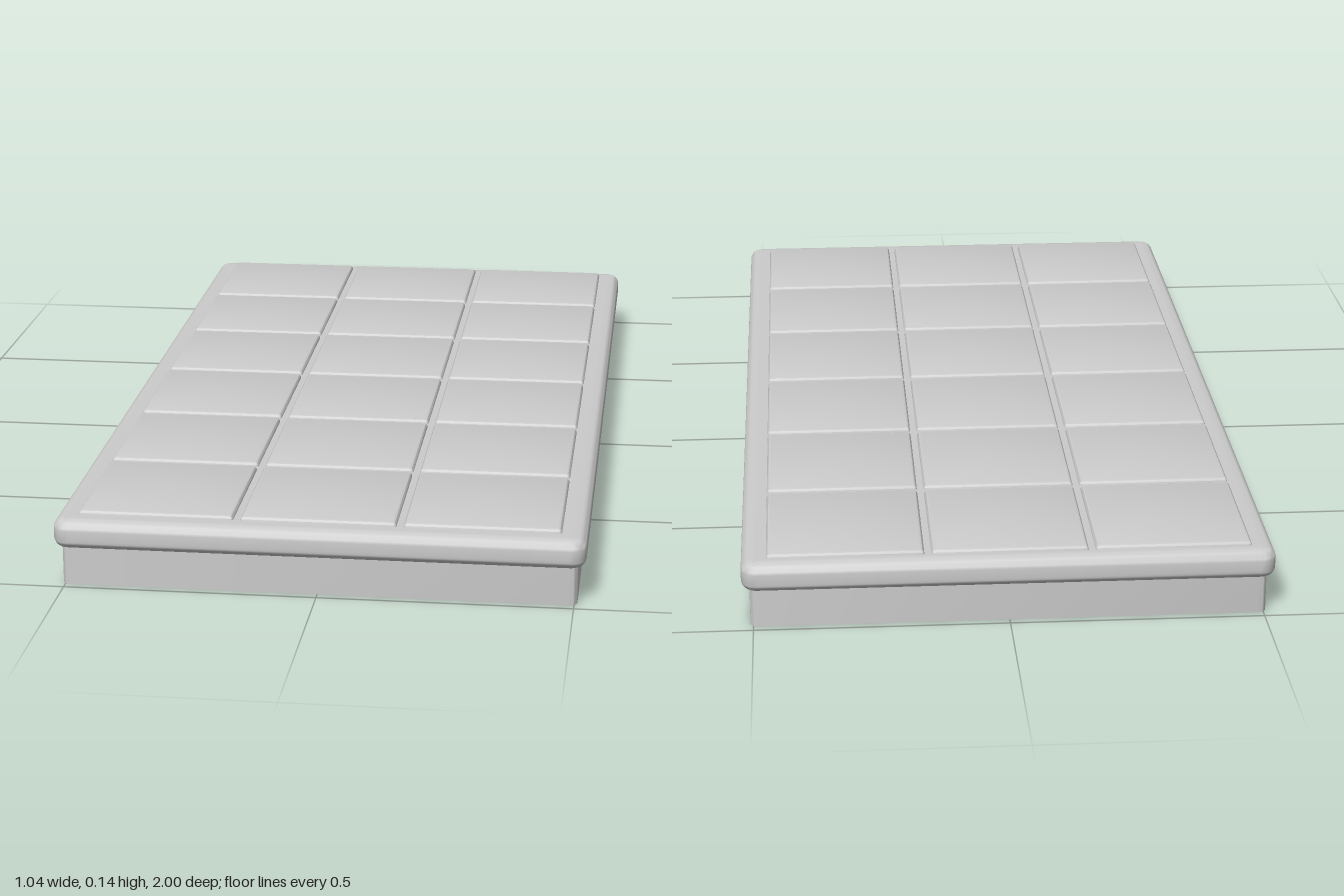
import * as THREE from 'three';
import { toCreasedNormals } from 'three/addons/utils/BufferGeometryUtils.js';

const material = new THREE.MeshStandardMaterial({ color: 0xcccccc, side: THREE.DoubleSide });
const CORNER_STEPS = 6;

// Points of a rounded rectangle in the xz plane
function roundedLoop(halfX, halfZ, radius, y) {
  const points = [];
  for (const [q, sx, sz] of [[0, 1, 1], [1, -1, 1], [2, -1, -1], [3, 1, -1]]) {
    for (let i = 0; i <= CORNER_STEPS; i++) {
      const a = (q + i / CORNER_STEPS) * Math.PI / 2;
      points.push(
        sx * (halfX - radius) + radius * Math.cos(a), y,
        sz * (halfZ - radius) + radius * Math.sin(a));
    }
  }
  return points;
}

// Stacks rounded rectangles along a profile of [inset, y] and closes the top
function shell(halfX, halfZ, radius, profile, crease) {
  const n = 4 * (CORNER_STEPS + 1);
  const positions = [], index = [];
  for (const [inset, y] of profile) {
    positions.push(...roundedLoop(halfX - inset, halfZ - inset, Math.max(radius - inset, 0.003), y));
  }
  const top = (profile.length - 1) * n, centre = profile.length * n;
  positions.push(0, profile[profile.length - 1][1], 0);
  for (let j = 0; j < n; j++) {
    const k = (j + 1) % n;
    for (let r = 0; r < top; r += n) {
      index.push(r + j, r + n + j, r + k, r + k, r + n + j, r + n + k);
    }
    index.push(centre, top + k, top + j);
  }
  const geometry = new THREE.BufferGeometry();
  geometry.setAttribute('position', new THREE.Float32BufferAttribute(positions, 3));
  geometry.setIndex(index);
  return toCreasedNormals(geometry, crease);
}

// Quarter-round run of profile points about a centre
function arc(inset, y, rx, ry, from, to) {
  return Array.from({ length: 7 }, (_, i) => {
    const a = from + (to - from) * i / 6;
    return [inset - rx * Math.cos(a), y + ry * Math.sin(a)];
  });
}

export function createModel() {
  const group = new THREE.Group();
  group.name = 'tray';

  // Hollow body: thin skirt, bulging rounded rim and flat top, open below
  const bodyProfile = [
    [0.016, 0], [0.016, 0.078],
    ...arc(0.016, 0.096, 0.016, 0.018, -Math.PI / 2, 0).slice(1),
    ...arc(0.02, 0.115, 0.02, 0.02, 0, Math.PI / 2),
    [0.03, 0.135],
  ];
  const body = new THREE.Mesh(shell(0.522, 1, 0.032, bodyProfile, 0.6), material);
  body.name = 'body';
  group.add(body);

  // Raised square tiles, three across and six along
  const tileGeometry = shell(0.154, 0.154, 0.006,
    [[0, 0.134], [0.001, 0.138], [0.004, 0.142], [0.008, 0.1435]], 0.4);
  const tiles = new THREE.Group();
  tiles.name = 'tiles';
  for (let row = 0; row < 6; row++) {
    for (let column = 0; column < 3; column++) {
      const tile = new THREE.Mesh(tileGeometry, material);
      tile.name = `tile ${row + 1}-${column + 1}`;
      tile.position.set(-0.002 + (column - 1) * 0.321, 0, -0.006 + (row - 2.5) * 0.322);
      tiles.add(tile);
    }
  }
  group.add(tiles);
  return group;
}
